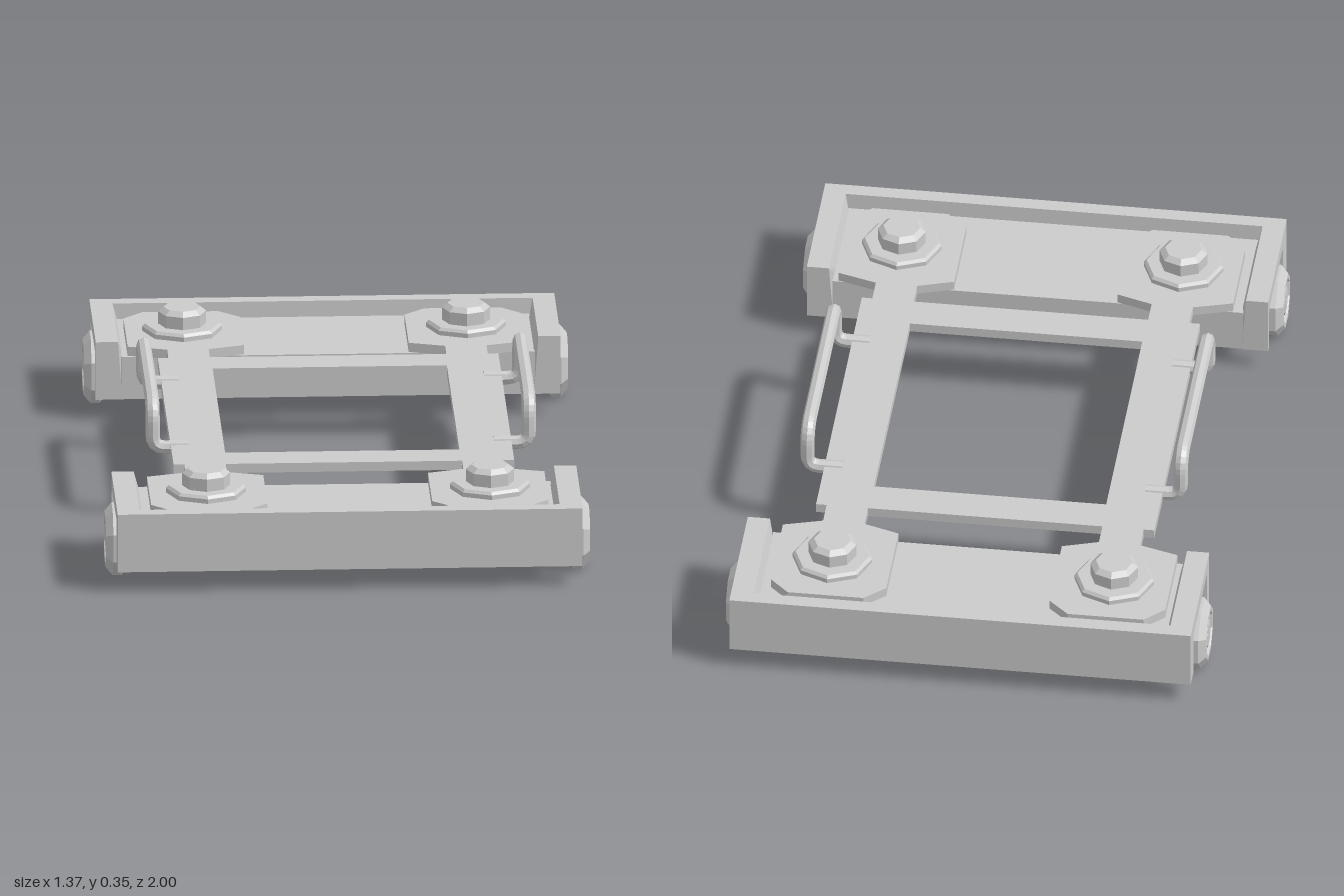
import * as THREE from 'three';

const material = new THREE.MeshStandardMaterial({ color: 0xcccccc, flatShading: true });

function add(parent, name, geometry, x = 0, y = 0, z = 0) {
  const mesh = new THREE.Mesh(geometry, material);
  mesh.name = name;
  mesh.position.set(x, y, z);
  parent.add(mesh);
  return mesh;
}

const polygon = (points) => new THREE.Shape(points.map(([x, y]) => new THREE.Vector2(x, y)));

// Moves the vertices of a geometry by a rule
function reshape(geometry, rule) {
  const p = geometry.attributes.position;
  const v = new THREE.Vector3();
  for (let i = 0; i < p.count; i++) {
    v.fromBufferAttribute(p, i);
    rule(v);
    p.setXYZ(i, v.x, v.y, v.z);
  }
  geometry.computeVertexNormals();
  return geometry;
}

// Eight-sided turned part, axis along y
const octagonLathe = (points) =>
  new THREE.LatheGeometry(points.map(([r, y]) => new THREE.Vector2(r, y)), 8);

// End wall with an arch for the wheel; its inner top edge leans outward
function endWall() {
  const shape = polygon([
    [0.6, 0.06], [0.645, 0.06], [0.645, 0.18], [0.655, 0.19], [0.93, 0.19],
    [0.94, 0.18], [0.94, 0.06], [0.96, 0.06], [0.96, 0.23], [0.6, 0.23],
  ]);
  const geometry = new THREE.ExtrudeGeometry(shape, { depth: 0.075, bevelEnabled: false });
  geometry.rotateY(-Math.PI / 2).translate(0.655, 0, 0);
  return reshape(geometry, (v) => {
    if (v.x < 0.6 && v.y > 0.2) v.x += 0.012;
  });
}

// One end of the trolley: tray, rim and two wheels
function createEnd() {
  const end = new THREE.Group();
  end.name = 'endCarriage';
  add(end, 'trayBody', new THREE.BoxGeometry(1.165, 0.125, 0.35), -0.005, 0.1225, 0.777);

  const front = new THREE.BoxGeometry(1.31, 0.17, 0.055).translate(0, 0.145, 0.9725);
  reshape(front, (v) => {
    if (v.z < 0.95 && v.y > 0.2) v.z += 0.012;
  });
  add(end, 'outerWall', front, -0.005);

  for (const side of [1, -1]) {
    const corner = new THREE.Group();
    corner.name = side > 0 ? 'leftEnd' : 'rightEnd';
    corner.position.x = -0.005;
    end.add(corner);
    const wall = endWall();
    if (side < 0) wall.rotateY(Math.PI).translate(0, 0, 1.56);
    // The turned wall keeps its span in z after sliding back into place
    add(corner, 'endWall', wall);

    const wheel = octagonLathe([
      [0, 0.575], [0.03, 0.575], [0.03, 0.625], [0.085, 0.625], [0.103, 0.638], [0.103, 0.662],
      [0.08, 0.682], [0.066, 0.682], [0.058, 0.668], [0.046, 0.668],
      [0.04, 0.68], [0, 0.68],
    ]);
    wheel.rotateY(Math.PI / 8).rotateZ(side * -Math.PI / 2);
    add(corner, 'wheel', wheel, 0, 0.095, 0.797);
  }
  return end;
}

// Flat frame with a pad at each corner and an open middle
function createFrame() {
  const quarter = [
    [0.48, 0], [0.48, 0.495], [0.45, 0.495], [0.45, 0.57], [0.56, 0.603],
    [0.56, 0.865], [0.505, 0.92], [0.29, 0.92], [0.232, 0.865],
    [0.232, 0.603], [0.333, 0.57], [0.333, 0.495],
  ];
  const flip = (points, sx, sy) => points.map(([x, y]) => [x * sx, y * sy]);
  const shape = polygon([
    ...quarter,
    ...flip(quarter, -1, 1).reverse(),
    ...flip(quarter.slice(1), -1, -1),
    ...flip(quarter.slice(1), 1, -1).reverse(),
  ]);
  shape.holes.push(polygon([[-0.33, -0.39], [-0.33, 0.39], [0.33, 0.39], [0.33, -0.39]]));
  const geometry = new THREE.ExtrudeGeometry(shape, { depth: 0.027, bevelEnabled: false });
  return geometry.rotateX(-Math.PI / 2).translate(0, 0.188, 0);
}

// Handle: feet on the frame, bent outward, up and along the side
function createHandle(side) {
  const points = [
    [0.43, 0.205, 0.3], [0.53, 0.205, 0.3], [0.53, 0.332, 0.3],
    [0.53, 0.332, -0.3], [0.53, 0.205, -0.3], [0.43, 0.205, -0.3],
  ].map(([x, y, z]) => new THREE.Vector3(x * side, y, z));
  const bends = [0, 0.035, 0.06, 0.06, 0.035, 0];
  const path = new THREE.CurvePath();
  let from = points[0];
  for (let i = 1; i < points.length; i++) {
    const p = points[i];
    const before = p.clone().add(from.clone().sub(p).setLength(bends[i]));
    path.add(new THREE.LineCurve3(from, before));
    if (i === points.length - 1) break;
    const after = p.clone().add(points[i + 1].clone().sub(p).setLength(bends[i]));
    path.add(new THREE.QuadraticBezierCurve3(before, p, after));
    from = after;
  }
  return new THREE.TubeGeometry(path, 72, 0.02, 8, false);
}

export function createModel() {
  const model = new THREE.Group();
  model.name = 'trolley';

  // Two equal ends, the rear one turned round
  const frontEnd = createEnd();
  const rearEnd = createEnd();
  rearEnd.rotation.y = Math.PI;
  model.add(frontEnd, rearEnd);

  add(model, 'frame', createFrame());

  for (const x of [-0.4, 0.4]) {
    for (const z of [-0.75, 0.75]) {
      add(model, 'washer', octagonLathe([[0, 0.21], [0.113, 0.21], [0.113, 0.228], [0.105, 0.236], [0, 0.236]]), x, 0, z);
      add(model, 'bolt', octagonLathe([[0.068, 0.234], [0.068, 0.272], [0.052, 0.285], [0, 0.285]]), x, 0, z);
    }
  }

  for (const side of [1, -1]) {
    const handle = add(model, side > 0 ? 'leftHandle' : 'rightHandle', createHandle(side));
    handle.material = material.clone();
    handle.material.side = THREE.DoubleSide;
  }
  return model;
}
